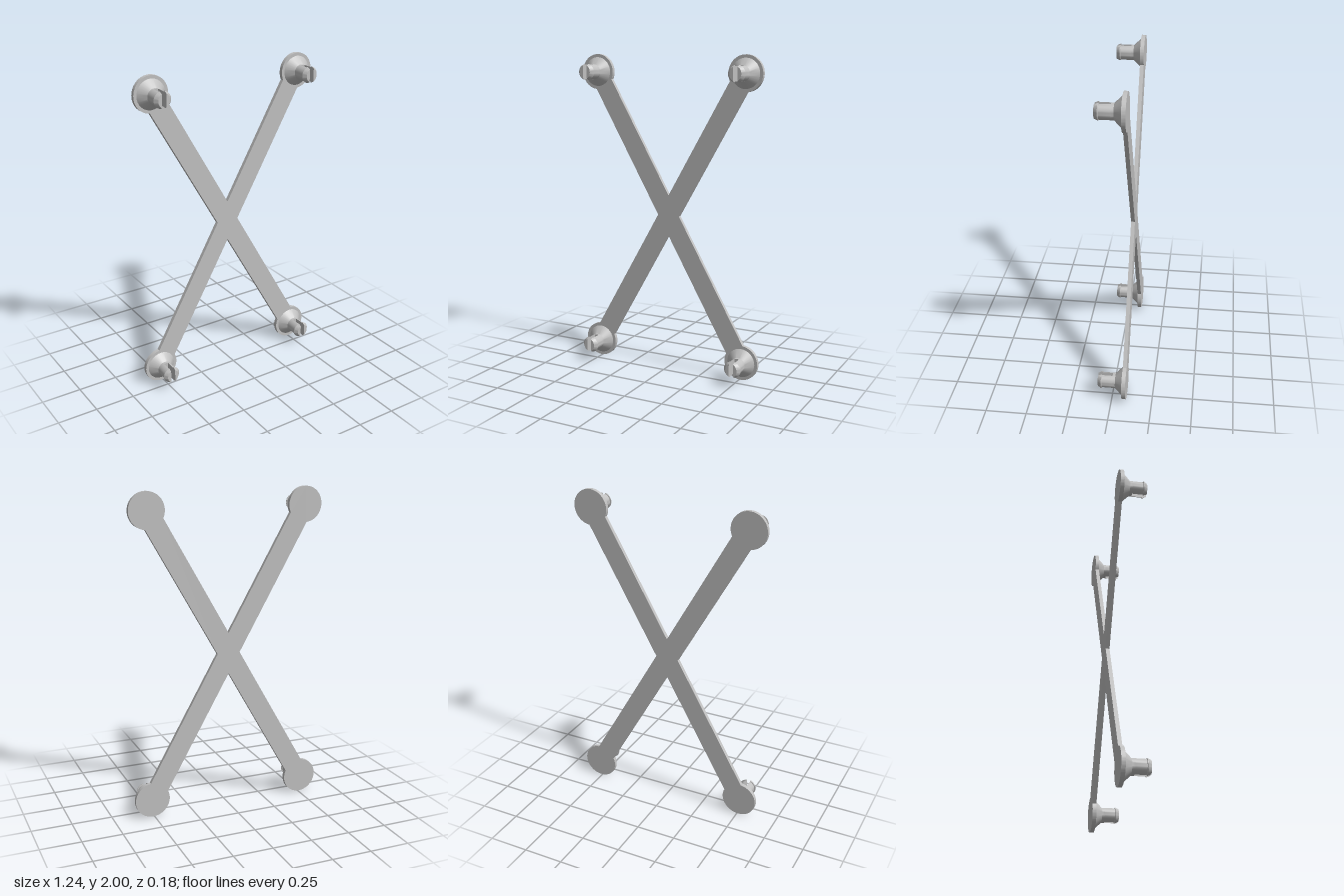
import * as THREE from 'three';
import { toCreasedNormals } from 'three/addons/utils/BufferGeometryUtils.js';

const PX = 0.508, PY = 0.89;   // pad centres measured from the middle of the cross
const PAD_R = 0.11, ARM_HALF = 0.0635;
const BACK = -0.09, FACE = -0.066;
const SLOT = 0.014;            // half width of the slot in the peg

// Flat cross with a round pad at each end, drawn as one outline
function plateGeometry() {
  const shape = new THREE.Shape();
  const a = Math.atan2(PY, PX);
  const spread = Math.PI - Math.asin(ARM_HALF / PAD_R);
  const notches = [[0, ARM_HALF / Math.cos(a)], [-ARM_HALF / Math.sin(a), 0],
    [0, -ARM_HALF / Math.cos(a)], [ARM_HALF / Math.sin(a), 0]];
  shape.moveTo(...notches[3]);
  [a, Math.PI - a, Math.PI + a, -a].forEach((dir, i) => {
    const r = Math.hypot(PX, PY);
    shape.absarc(r * Math.cos(dir), r * Math.sin(dir), PAD_R, dir - spread, dir + spread, false);
    shape.lineTo(...notches[i]);
  });
  const geo = new THREE.ExtrudeGeometry(shape, { depth: FACE - BACK, bevelEnabled: false, curveSegments: 40 });
  return toCreasedNormals(geo.translate(0, 0, BACK), 0.5);
}

// Half of the split peg: D-shaped sections lofted along z, capped at the tip
function prongGeometry() {
  const rings = [[-0.003, 0.047, 0.047], [0.062, 0.047, 0.047], [0.063, 0.055, 0.051],
    [0.067, 0.055, 0.051], [0.088, 0.037, 0.043]];
  const n = 17, pos = [], idx = [];
  for (const [z, rx, ry] of rings) {
    const a = Math.acos(SLOT / rx);
    for (let j = 0; j < n; j++) {
      const t = -a + 2 * a * j / (n - 1);
      pos.push(rx * Math.cos(t), ry * Math.sin(t), z);
    }
  }
  for (let i = 0; i < rings.length - 1; i++) {
    for (let j = 0; j < n; j++) {
      const p = i * n + j, q = i * n + (j + 1) % n;
      idx.push(p, q, q + n, p, q + n, p + n);
    }
  }
  const tip = (rings.length - 1) * n;
  for (let j = 1; j < n - 1; j++) idx.push(tip, tip + j, tip + j + 1);
  const geo = new THREE.BufferGeometry();
  geo.setAttribute('position', new THREE.Float32BufferAttribute(pos, 3));
  geo.setIndex(idx);
  return toCreasedNormals(geo, 0.5);
}

export function createModel() {
  const model = new THREE.Group();
  const grey = new THREE.MeshStandardMaterial({ color: 0xc0c0c0 });
  grey.name = 'light grey plastic';

  const add = (parent, geo, name) => {
    const mesh = new THREE.Mesh(geo, grey);
    mesh.name = name;
    parent.add(mesh);
    return mesh;
  };

  add(model, plateGeometry(), 'crossPlate').position.y = 1;

  // Conical boss and the solid root of the peg
  const profile = [[0.091, FACE], [0.047, -0.02], [0.047, -0.003], [0, -0.003]];
  const boss = toCreasedNormals(new THREE.LatheGeometry(
    profile.map(([r, h]) => new THREE.Vector2(r, h)), 32).rotateX(Math.PI / 2), 0.5);
  const prong = prongGeometry();

  for (const sx of [-1, 1]) {
    for (const sy of [-1, 1]) {
      const clip = new THREE.Group();
      clip.name = (sy > 0 ? 'upper' : 'lower') + (sx > 0 ? 'Left' : 'Right') + 'Clip';
      clip.position.set(sx * PX, 1 + sy * PY, 0);
      add(clip, boss, 'boss');
      add(clip, prong, 'leftProng');
      add(clip, prong, 'rightProng').rotation.z = Math.PI;
      model.add(clip);
    }
  }
  return model;
}
